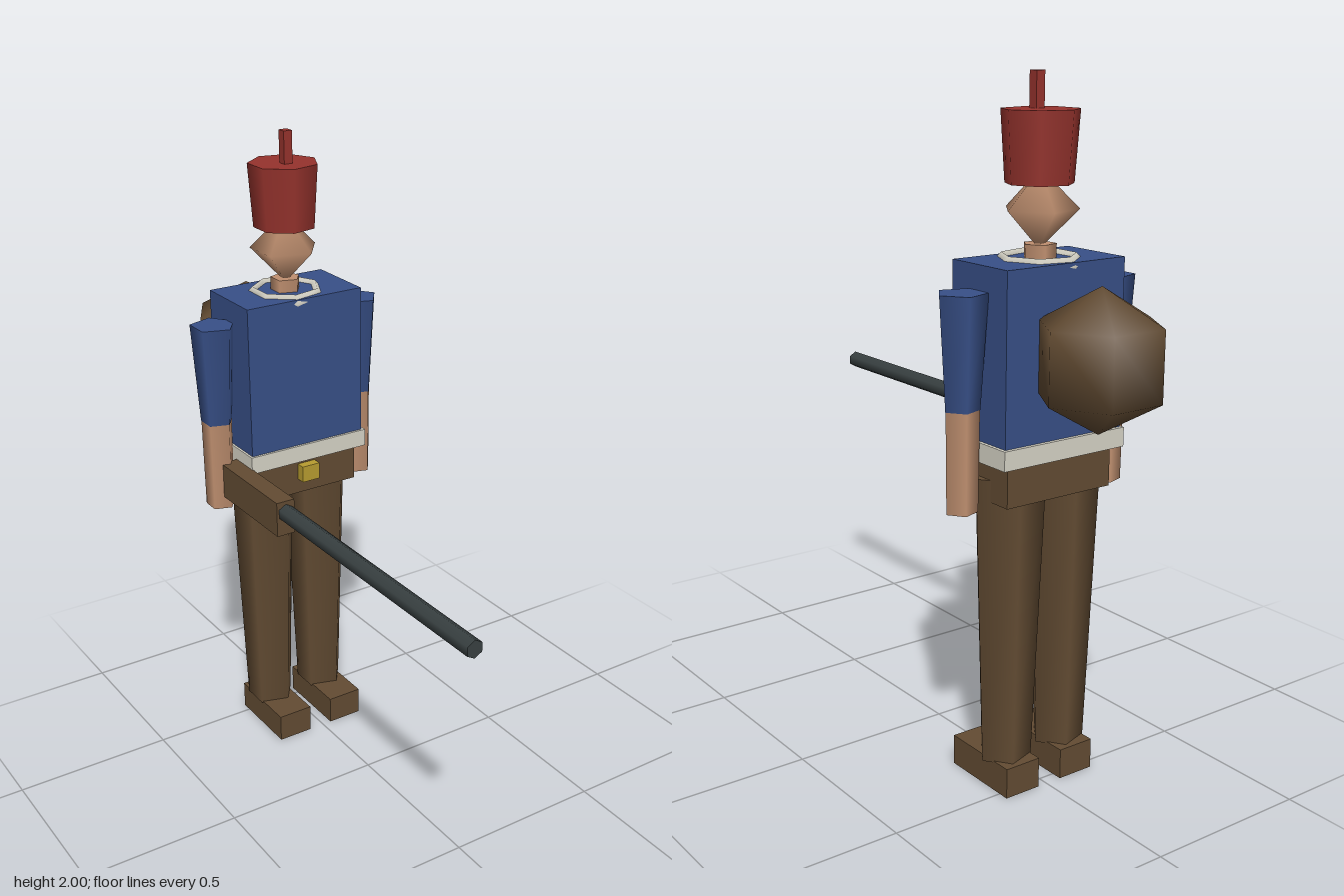
import * as THREE from 'three';

const CX = -0.01, CZ = -0.443; // body axis

function material(name, color) {
  const m = new THREE.MeshStandardMaterial({ color });
  m.name = name;
  return m;
}

export function createModel() {
  const group = new THREE.Group();
  group.name = 'toySoldier';
  const blue = material('coatBlue', 0x385088);
  const brown = material('leatherBrown', 0x634c33);
  const red = material('hatRed', 0x96332d);
  const skin = material('skin', 0xc09070);
  const white = material('trimWhite', 0xd8d5c8);
  const gold = material('buckleGold', 0xb89d30);
  const steel = material('gunMetal', 0x394142);

  function add(name, geometry, mat, x, y, z) {
    const mesh = new THREE.Mesh(geometry, mat);
    mesh.name = name;
    mesh.position.set(x, y, z);
    group.add(mesh);
    return mesh;
  }

  // box given by its limits on each axis
  function box(name, mat, [x0, x1], [y0, y1], [z0, z1]) {
    return add(name, new THREE.BoxGeometry(x1 - x0, y1 - y0, z1 - z0), mat,
      (x0 + x1) / 2, (y0 + y1) / 2, (z0 + z1) / 2);
  }

  // upright tapered prism with one corner pointing to +x
  function prism(name, mat, sides, rTop, rBottom, y0, y1, x, z = CZ) {
    const g = new THREE.CylinderGeometry(rTop, rBottom, y1 - y0, sides, 1, false, Math.PI / 2);
    return add(name, g, mat, x, (y0 + y1) / 2, z);
  }

  // trunk
  box('torso', blue, [-0.21, 0.19], [1.03, 1.513], [-0.562, -0.328]);
  box('belt', white, [-0.217, 0.2], [0.985, 1.04], [-0.573, -0.32]);
  box('hips', brown, [-0.19, 0.17], [0.87, 0.985], [-0.548, -0.34]);
  box('buckle', gold, [-0.042, 0.02], [0.917, 0.97], [-0.345, -0.31]);

  // limbs
  for (const [side, s] of [['left', 1], ['right', -1]]) {
    const armX = CX + s * 0.256, legX = CX + s * 0.098;
    prism(side + 'Sleeve', blue, 5, 0.071, 0.051, 1.133, 1.445, armX);
    prism(side + 'Forearm', skin, 5, 0.05, 0.047, 0.85, 1.133, armX);
    prism(side + 'Leg', brown, 5, 0.107, 0.077, 0.085, 0.932, legX);
    box(side + 'Boot', brown, [legX - 0.058, legX + 0.058], [0, 0.09], [-0.532, -0.28]);
  }

  // collar ring, neck and head
  const ring = new THREE.TorusGeometry(0.103, 0.024, 4, 7).rotateX(Math.PI / 2);
  add('collar', ring, white, CX, 1.501, CZ);
  prism('neck', skin, 5, 0.047, 0.047, 1.5, 1.552, CX);
  const head = new THREE.SphereGeometry(0.107, 5, 2).rotateY(Math.PI);
  add('head', head, skin, CX, 1.643, CZ);

  // hat with plume
  prism('hat', red, 7, 0.108, 0.095, 1.71, 1.903, CX + 0.002);
  box('plume', red, [-0.023, 0.005], [1.89, 2], [-0.44, -0.411]);

  // round backpack
  add('backpack', new THREE.SphereGeometry(0.196, 6, 3), brown, CX, 1.277, -0.697);

  // musket held in the right hand
  box('musketStock', brown, [-0.274, -0.214], [0.89, 1], [-0.42, -0.073]);
  const barrel = new THREE.CylinderGeometry(0.027, 0.027, 0.949, 6).rotateX(Math.PI / 2);
  add('musketBarrel', barrel, steel, -0.243, 0.963, 0.3735);

  return group;
}
